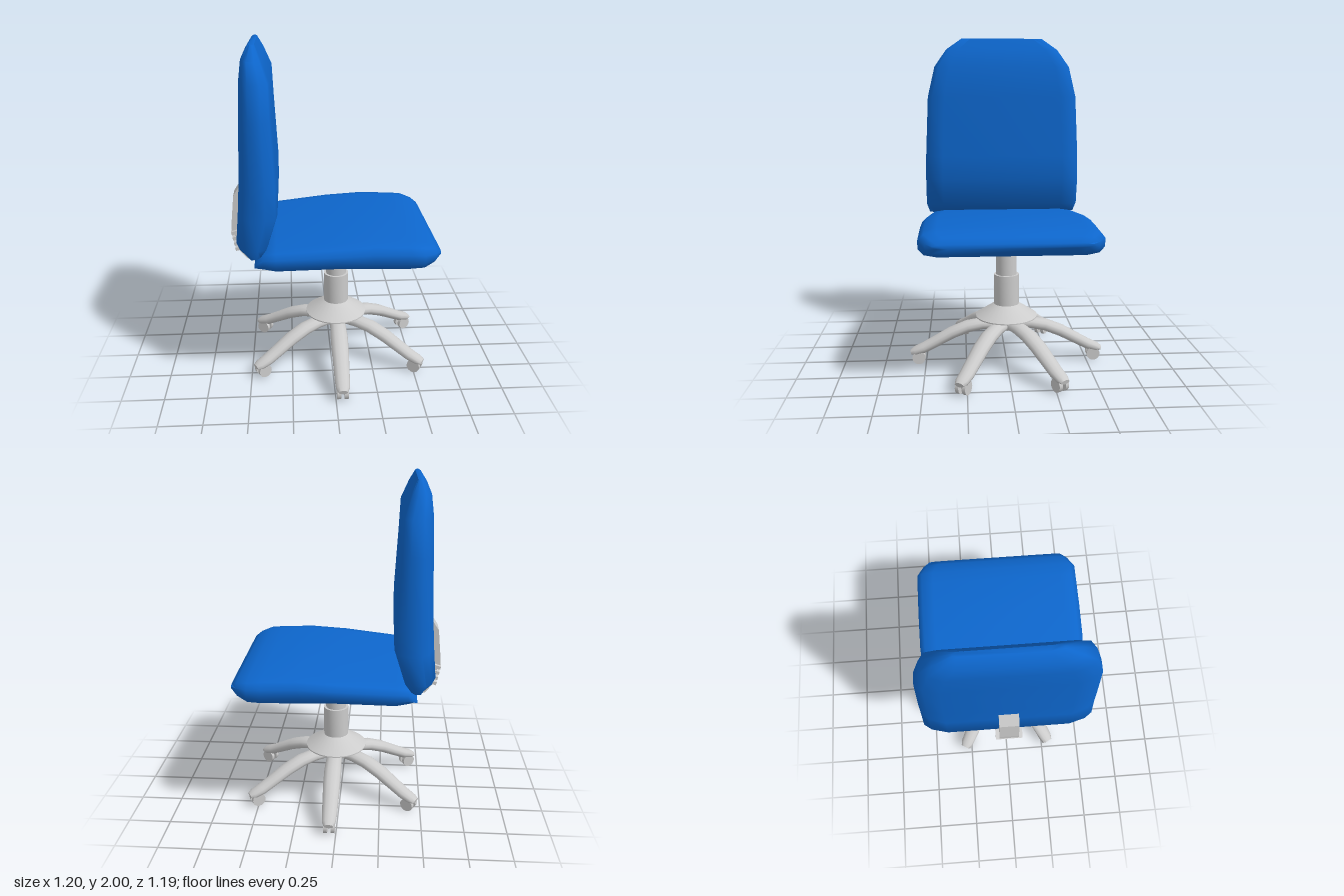
import * as THREE from 'three';
import { toCreasedNormals } from 'three/addons/utils/BufferGeometryUtils.js';

const blue = new THREE.MeshStandardMaterial({ color: 0x0d66cc });
const grey = new THREE.MeshStandardMaterial({ color: 0xcccccc });
const AXIS_X = 0.035; // the column stands slightly off the middle

function mesh(name, geometry, material) {
  const m = new THREE.Mesh(geometry, material);
  m.name = name;
  return m;
}

// Joins rings of [x, y, z] points into a closed skin, capped at both ends.
function loft(rings, crease) {
  const n = rings[0].length;
  const p = rings.flat();
  const index = [];
  for (let i = 0; i < rings.length - 1; i++) {
    for (let j = 0; j < n; j++) {
      const a = i * n + j, b = i * n + (j + 1) % n;
      index.push(a, b, a + n, b, b + n, a + n);
    }
  }
  const last = (rings.length - 1) * n;
  for (let j = 1; j < n - 1; j++) {
    index.push(0, j + 1, j, last, last + j, last + j + 1);
  }
  // Turn the skin outward if its signed volume is negative
  let volume = 0;
  const [a, b, c] = [0, 1, 2].map(() => new THREE.Vector3());
  for (let i = 0; i < index.length; i += 3) {
    a.fromArray(p[index[i]]);
    b.fromArray(p[index[i + 1]]);
    c.fromArray(p[index[i + 2]]);
    volume += a.dot(b.cross(c));
  }
  if (volume < 0) index.reverse();
  const g = new THREE.BufferGeometry();
  g.setAttribute('position', new THREE.Float32BufferAttribute(p.flat(), 3));
  g.setIndex(index);
  return toCreasedNormals(g, crease);
}

// Mirrors half a cushion section [width fraction, depth fraction] to a ring.
const mirrored = (half) => [...half, ...half.map(([u, v]) => [-u, v]).reverse()];

function seat() {
  const section = mirrored([[0.8, 0], [0.94, 0.1], [1, 0.35], [1, 0.7], [0.94, 0.92], [0.8, 1]]);
  // x, half width, bottom, top
  const stations = [
    [-0.45, 0.44, 0.795, 0.815], [-0.40, 0.465, 0.783, 0.885], [-0.33, 0.475, 0.77, 0.897],
    [0, 0.51, 0.79, 0.925], [0.22, 0.512, 0.785, 0.94], [0.42, 0.512, 0.78, 0.933],
    [0.50, 0.512, 0.787, 0.925], [0.565, 0.47, 0.81, 0.905], [0.6, 0.43, 0.853, 0.878],
  ];
  const rings = stations.map(([x, w, lo, hi]) =>
    section.map(([u, v]) => [x, lo + (hi - lo) * v, u * w]));
  return mesh('seat', loft(rings, 1.1), blue);
}

function backrest() {
  const section = mirrored([[0.72, 0], [0.91, 0.14], [1, 0.32], [1, 0.7], [0.94, 0.95], [0.78, 1]]);
  // y, half width, rear x, front x
  const stations = [
    [0.87, 0.48, -0.49, -0.41], [0.925, 0.5, -0.55, -0.37], [1.1, 0.5, -0.535, -0.315],
    [1.25, 0.497, -0.525, -0.315], [1.63, 0.48, -0.51, -0.335], [1.82, 0.435, -0.505, -0.342],
    [1.93, 0.36, -0.493, -0.385], [2, 0.26, -0.45, -0.42],
  ];
  const rings = stations.map(([y, w, back, front]) =>
    section.map(([u, v]) => [back + (front - back) * v, y, u * w]));
  return mesh('backrest', loft(rings, 1.1), blue);
}

// Side outline extruded across z
function slab(name, points, width) {
  const shape = new THREE.Shape(points.map(([x, y]) => new THREE.Vector2(x, y)));
  const g = new THREE.ExtrudeGeometry(shape, { depth: width, bevelEnabled: false });
  g.translate(0, 0, -width / 2);
  return mesh(name, g, grey);
}

function bracket() {
  const group = new THREE.Group();
  group.name = 'backBracket';
  group.add(slab('bracketArm', [
    [0.02, 0.675], [-0.45, 0.675], [-0.515, 0.7], [-0.56, 0.755], [-0.585, 0.87],
    [-0.54, 0.88], [-0.525, 0.79], [-0.49, 0.74], [-0.44, 0.725], [-0.4, 0.8], [0.02, 0.8],
  ], 0.13));
  group.add(slab('bracketUpright', [
    [-0.6, 0.87], [-0.6, 0.92], [-0.582, 1.1], [-0.53, 1.18], [-0.51, 1.1], [-0.53, 0.92], [-0.55, 0.87],
  ], 0.115));
  // Flexible ribs
  for (let i = 0; i < 4; i++) {
    const rib = mesh('bracketRib', new THREE.BoxGeometry(0.074, 0.02, 0.16), grey);
    rib.position.set(-0.545 - i * 0.007, 0.775 + i * 0.034, 0);
    rib.rotation.z = 0.3;
    group.add(rib);
  }
  return group;
}

// One leg pointing along +x, with its twin wheels
function leg() {
  const group = new THREE.Group();
  group.name = 'leg';
  // distance out, height, half width, half thickness
  const path = [
    [0.04, 0.25, 0.045, 0.032], [0.15, 0.248, 0.05, 0.035], [0.24, 0.232, 0.053, 0.036],
    [0.34, 0.192, 0.052, 0.036], [0.43, 0.143, 0.048, 0.034], [0.51, 0.1, 0.045, 0.032],
    [0.565, 0.08, 0.04, 0.027], [0.592, 0.073, 0.028, 0.014],
  ];
  const sides = 12;
  const rings = path.map(([r, y, w, h], i) => {
    const before = path[Math.max(i - 1, 0)], after = path[Math.min(i + 1, path.length - 1)];
    const t = Math.atan2(after[1] - before[1], after[0] - before[0]);
    return Array.from({ length: sides }, (_, j) => {
      const q = (j / sides) * Math.PI * 2;
      const s = Math.sin(q) * h;
      return [r - Math.sin(t) * s, y + Math.cos(t) * s, Math.cos(q) * w];
    });
  });
  group.add(mesh('legArm', loft(rings, 1), grey));
  for (const side of [-1, 1]) {
    const wheel = mesh('wheel', new THREE.CylinderGeometry(0.041, 0.041, 0.022, 16), grey);
    wheel.rotation.x = Math.PI / 2;
    wheel.position.set(0.543, 0.044, side * 0.022);
    group.add(wheel);
  }
  const axle = mesh('axle', new THREE.CylinderGeometry(0.012, 0.012, 0.05, 8), grey);
  axle.rotation.x = Math.PI / 2;
  axle.position.set(0.543, 0.044, 0);
  group.add(axle);
  return group;
}

export function createModel() {
  const model = new THREE.Group();
  model.name = 'officeChair';
  model.add(seat(), backrest(), bracket());

  // Gas column, sleeve and flared hub
  const profile = [
    [0, 0.22], [0.075, 0.22], [0.1, 0.27], [0.19, 0.295], [0.19, 0.302], [0.077, 0.375],
    [0.077, 0.562], [0.063, 0.562], [0.063, 0.8], [0, 0.8],
  ].map(([r, y]) => new THREE.Vector2(r, y));
  const column = mesh('column', toCreasedNormals(new THREE.LatheGeometry(profile, 28), 0.5), grey);
  column.position.x = AXIS_X;
  model.add(column);

  // Six legs, two of them straight to the sides
  for (let i = 0; i < 6; i++) {
    const l = leg();
    l.position.x = AXIS_X + 0.005;
    l.rotation.y = Math.PI / 6 + (i * Math.PI) / 3;
    model.add(l);
  }
  return model;
}
